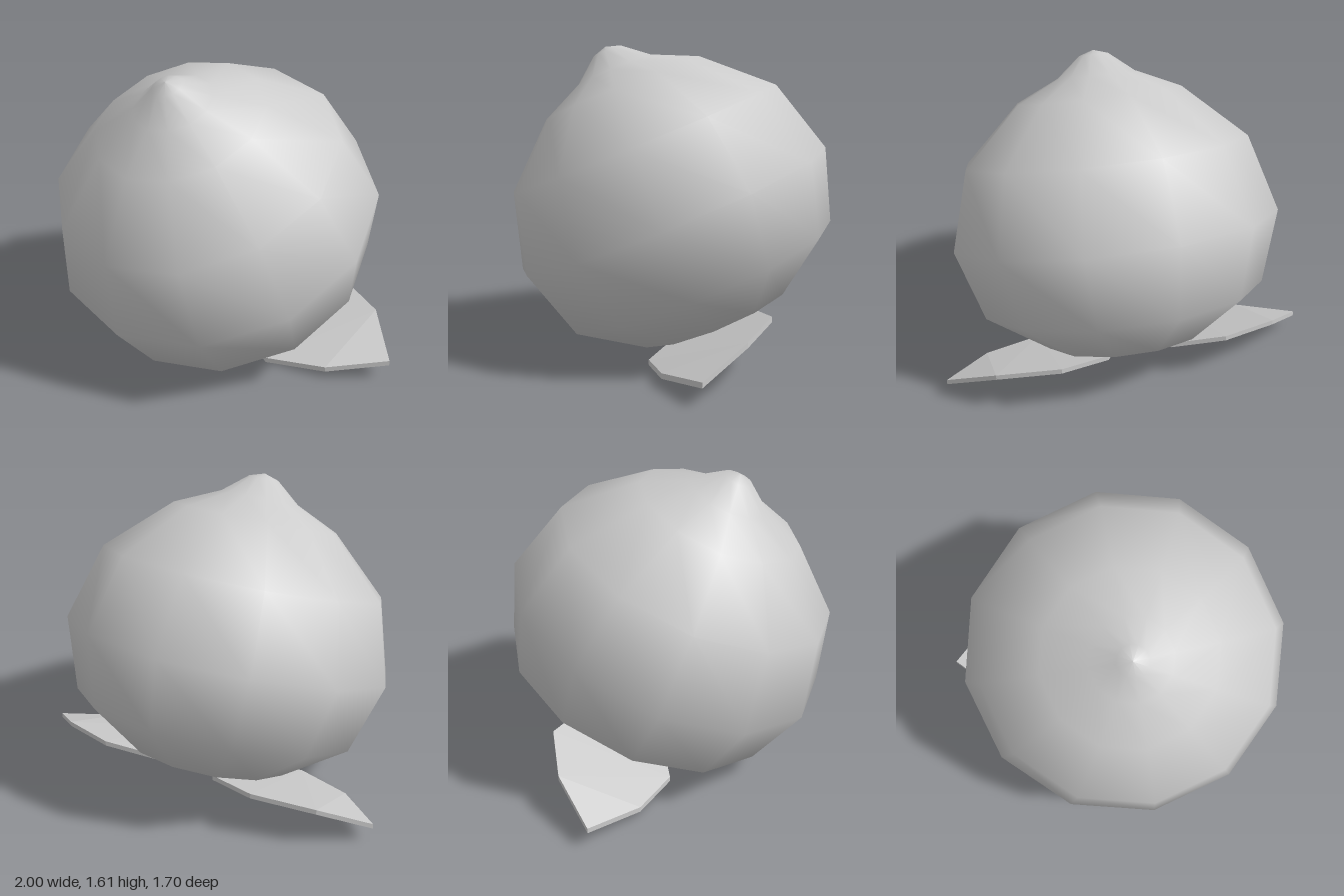
import * as THREE from 'three';

const grey = new THREE.MeshStandardMaterial({ color: 0xcccccc });
grey.name = 'pale grey';
const leafGrey = grey.clone();
leafGrey.flatShading = true;

// Round fruit with a small pointed tip, turned on a 12-sided lathe and leaning forward
function createFruit() {
  const profile = [
    [0, -0.69], [0.44, -0.64], [0.761, -0.409], [0.88, -0.033], [0.761, 0.372],
    [0.442, 0.665], [0.208, 0.771], [0.078, 0.876], [0, 0.9],
  ].map(([r, y]) => new THREE.Vector2(r, y));
  const geometry = new THREE.LatheGeometry(profile, 12, THREE.MathUtils.degToRad(5));
  const fruit = new THREE.Mesh(geometry, grey);
  fruit.name = 'fruit';
  fruit.rotation.x = THREE.MathUtils.degToRad(22.5);
  fruit.position.set(0, 0.766, 0.01);
  return fruit;
}

// Thin folded leaf: eight-point outline, gently creased across, with a drooping tip
function createLeaf(side) {
  const outline = [
    [0.12, 0.055, -0.03], [0.02, 0.14, -0.22], [0.175, 0.235, -0.475], [0.45, 0.28, -0.56],
    [0.77, 0.24, -0.46], [1, 0.115, -0.27], [0.745, 0.065, -0.05], [0.43, 0.028, 0.06],
  ];
  const thickness = 0.028;
  const topFaces = [[0, 1, 2], [0, 2, 3], [0, 3, 7], [7, 3, 4], [7, 4, 6], [6, 4, 5]];
  const n = outline.length;
  const top = outline.map(([x, y, z]) => [x * side, y, z]);
  const points = [...top, ...top.map(([x, y, z]) => [x, y - thickness, z])];

  const faces = [];
  for (const [a, b, c] of topFaces) {
    faces.push([c, b, a], [a + n, b + n, c + n]);
  }
  // rim
  for (let i = 0; i < n; i++) {
    const j = (i + 1) % n;
    faces.push([j + n, i + n, i], [j + n, i, j]);
  }

  const positions = [];
  for (const face of faces) {
    const order = side > 0 ? face : [...face].reverse();
    for (const index of order) positions.push(...points[index]);
  }
  const geometry = new THREE.BufferGeometry();
  geometry.setAttribute('position', new THREE.Float32BufferAttribute(positions, 3));
  geometry.computeVertexNormals();
  const leaf = new THREE.Mesh(geometry, leafGrey);
  leaf.name = side > 0 ? 'leftLeaf' : 'rightLeaf';
  return leaf;
}

export function createModel() {
  const model = new THREE.Group();
  model.name = 'fruitWithLeaves';
  model.add(createFruit(), createLeaf(1), createLeaf(-1));
  return model;
}
